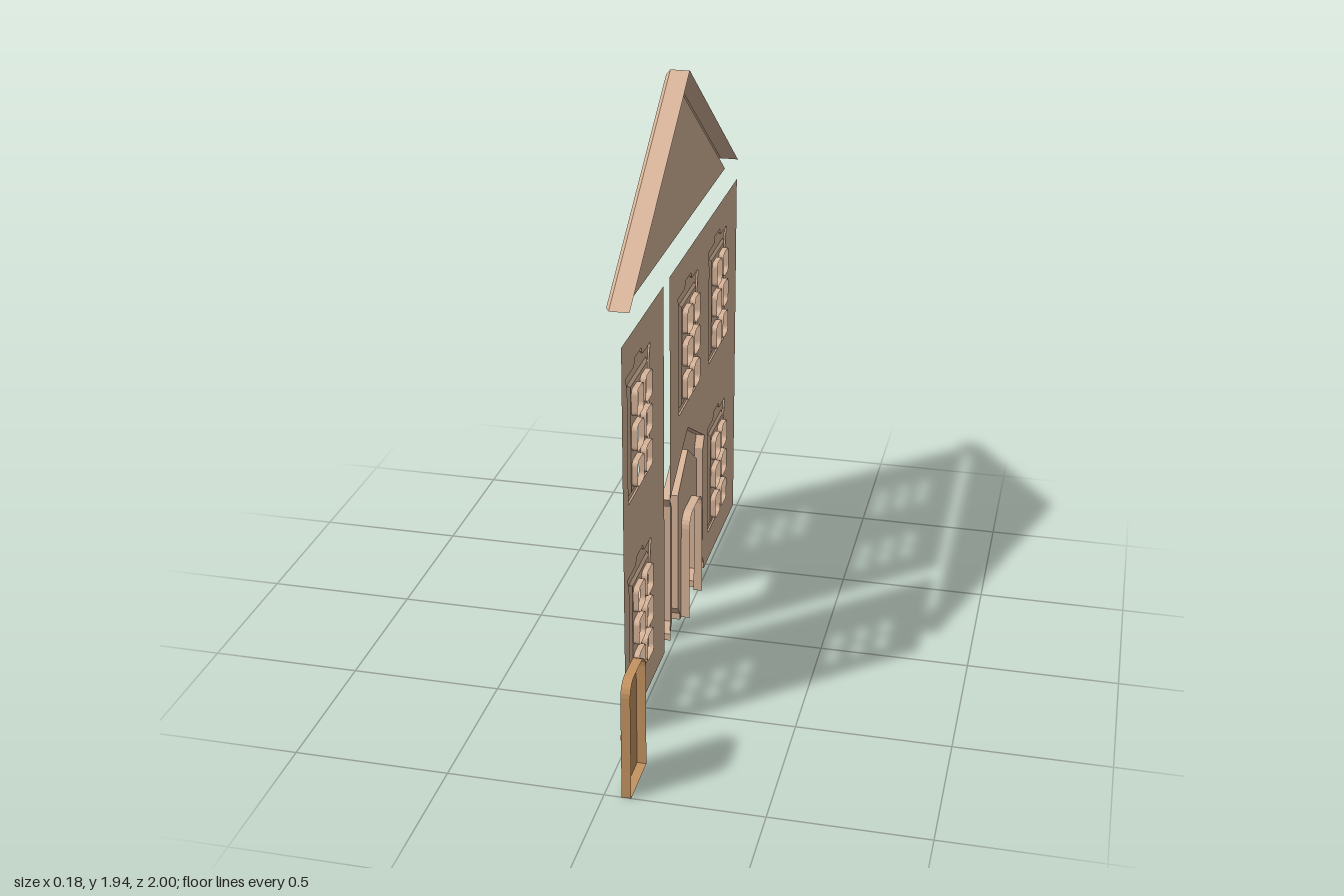
import * as THREE from 'three';

const V = (z, y) => new THREE.Vector2(z, y);
const WALL_X = -0.015;

// Mirror a right-hand half outline (bottom to top) about z = cz, shifted up by dy
function mirrored(half, cz, dy = 0) {
  const a = half.map(([o, y]) => V(cz + o, y + dy));
  const b = half.filter(([o]) => o !== 0).map(([o, y]) => V(cz - o, y + dy)).reverse();
  return a.concat(b);
}

// Half outline of a box with rounded corners
function roundedHalf(w, y0, y1, r, roundBottom) {
  const pts = [];
  const arc = (cy, start) => {
    for (let i = 0; i <= 5; i++) {
      const t = start + (i / 5) * Math.PI / 2;
      pts.push([w - r + r * Math.cos(t), cy + r * Math.sin(t)]);
    }
  };
  if (roundBottom) arc(y0 + r, -Math.PI / 2);
  else pts.push([w, y0]);
  arc(y1 - r, 0);
  return pts;
}

// Flat sheet in the z-y plane at the given x
function sheet(outline, x, holes = []) {
  const shape = new THREE.Shape(outline);
  shape.holes = holes.map((h) => new THREE.Path(h));
  return new THREE.ShapeGeometry(shape).rotateY(-Math.PI / 2).translate(x, 0, 0);
}

// Strip joining two outlines with the same number of points
function band(a, xa, b, xb, closed) {
  const pos = [];
  const n = closed ? a.length : a.length - 1;
  for (let i = 0; i < n; i++) {
    const j = (i + 1) % a.length;
    const p = [xa, a[i].y, a[i].x], q = [xa, a[j].y, a[j].x];
    const r = [xb, b[i].y, b[i].x], s = [xb, b[j].y, b[j].x];
    pos.push(...p, ...r, ...q, ...q, ...r, ...s);
  }
  const g = new THREE.BufferGeometry();
  g.setAttribute('position', new THREE.Float32BufferAttribute(pos, 3));
  g.computeVertexNormals();
  return g;
}

export function createModel() {
  const root = new THREE.Group();
  const plaster = new THREE.MeshStandardMaterial({ color: 0xd6b499, side: THREE.DoubleSide });
  plaster.name = 'plaster';
  const wood = new THREE.MeshStandardMaterial({ color: 0xc2925f, side: THREE.DoubleSide });
  wood.name = 'wood';

  const group = (name) => {
    const g = new THREE.Group();
    g.name = name;
    root.add(g);
    return g;
  };
  const add = (parent, name, geometry, material = plaster) => {
    const m = new THREE.Mesh(geometry, material);
    m.name = name;
    parent.add(m);
    return m;
  };

  // Windows: raised surround, bevelled frame, six open panes with reveals
  const surround = [[0.135, 0.79], [0.135, 1.15], [0.14, 1.185], [0.15, 1.205], [0.15, 1.215],
    [0.06, 1.215], [0.045, 1.225], [0.042, 1.24]];
  const frameOuter = [[0.115, 0.81], [0.115, 1.18]];
  const frameInner = [[0.106, 0.82], [0.106, 1.17]];
  const windowOutline = (cz, dy) => mirrored(surround, cz, dy);

  function buildWindow(cz, dy) {
    const g = group('window');
    const s = windowOutline(cz, dy);
    const fo = mirrored(frameOuter, cz, dy);
    const fi = mirrored(frameInner, cz, dy);
    add(g, 'surroundEdge', band(s, WALL_X, s, -0.021, true));
    add(g, 'surround', sheet(s, -0.021, [fo]));
    add(g, 'frameBevel', band(fo, -0.021, fi, -0.013, true));
    const panes = [];
    for (const oz of [-0.054, 0.054]) {
      for (const y of [0.83, 0.95, 1.067]) {
        panes.push(mirrored(roundedHalf(0.042, y, y + 0.09, 0.018, true), cz + oz, dy));
      }
    }
    add(g, 'glazingBars', sheet(fi, -0.013, panes));
    panes.forEach((p) => add(g, 'paneReveal', band(p, -0.013, p, 0.006, true)));
  }

  const LOWER = -0.677;
  const leftWindows = [[0.48, 0], [0.48, LOWER]];
  const rightWindows = [[-0.203, 0], [-0.667, 0], [-0.667, LOWER]];
  [...leftWindows, ...rightWindows].forEach(([z, dy]) => buildWindow(z, dy));

  // Walls with openings for the windows and doorway
  const walls = group('walls');
  add(walls, 'narrowWall', sheet([V(0.15, 0), V(0.68, 0), V(0.68, 1.335), V(0.15, 1.335)], WALL_X,
    leftWindows.map(([z, dy]) => windowOutline(z, dy))));
  add(walls, 'wideWall', sheet([V(-1, 0), V(-0.467, 0), V(-0.467, 0.025), V(-0.44, 0.06), V(-0.44, 0.5),
    V(-0.467, 0.54), V(-0.2, 0.69), V(0.067, 0.54), V(0.067, 1.335), V(-1, 1.335)], WALL_X,
  rightWindows.map(([z, dy]) => windowOutline(z, dy))));
  add(walls, 'wallStrip', sheet([V(0.04, 0.06), V(0.067, 0.025), V(0.067, 0.54), V(0.04, 0.5)], WALL_X));

  // Doorway: raised pilasters and gable, recessed panel, arched opening
  const doorway = group('doorway');
  const outer = mirrored([[0.267, 0], [0.267, 0.025], [0.24, 0.06], [0.24, 0.5], [0.267, 0.54], [0, 0.69]], -0.2);
  const inner = mirrored([[0.12, 0], [0.12, 0.025], [0.15, 0.06], [0.15, 0.5], [0, 0.605]], -0.2);
  const opening = mirrored(roundedHalf(0.1, 0, 0.4, 0.05, false), -0.2);
  const between = (a, b, x) => sheet([...a, ...[...b].reverse()], x);
  add(doorway, 'outerEdge', band(outer, WALL_X, outer, -0.045));
  add(doorway, 'pilastersAndGable', between(outer, inner, -0.045));
  add(doorway, 'innerEdge', band(inner, -0.045, inner, WALL_X));
  add(doorway, 'panel', between(inner, opening, WALL_X));
  add(doorway, 'openingReveal', band(opening, WALL_X, opening, 0.015));

  // Roof gable: moulded cornice swept along both slopes, as [drop below ridge, x]
  const roof = group('roofGable');
  const profile = [[0, -0.012], [0, -0.076], [0.017, -0.09], [0.06, -0.06], [0.08, -0.035]];
  const rake = (d) => mirrored([[0.795 - d * 1.5, 1.41], [0, 1.94 - d]], -0.205);
  for (let i = 0; i < profile.length - 1; i++) {
    const [[d0, x0], [d1, x1]] = [profile[i], profile[i + 1]];
    add(roof, 'cornice', band(rake(d0), x0, rake(d1), x1));
  }
  add(roof, 'gablePanel', sheet(rake(0.08), -0.035));

  // Door: hollow-backed leaf with a round knob
  const door = group('door');
  const leaf = mirrored(roundedHalf(0.095, 0, 0.4, 0.05, false), 0.905);
  add(door, 'doorFace', sheet(leaf, 0.055), wood);
  add(door, 'doorEdge', band(leaf, 0.055, leaf, 0.085, true), wood);
  add(door, 'doorKnob', new THREE.SphereGeometry(0.013, 16, 12)).position.set(0.04, 0.15, 0.907);

  return root;
}
